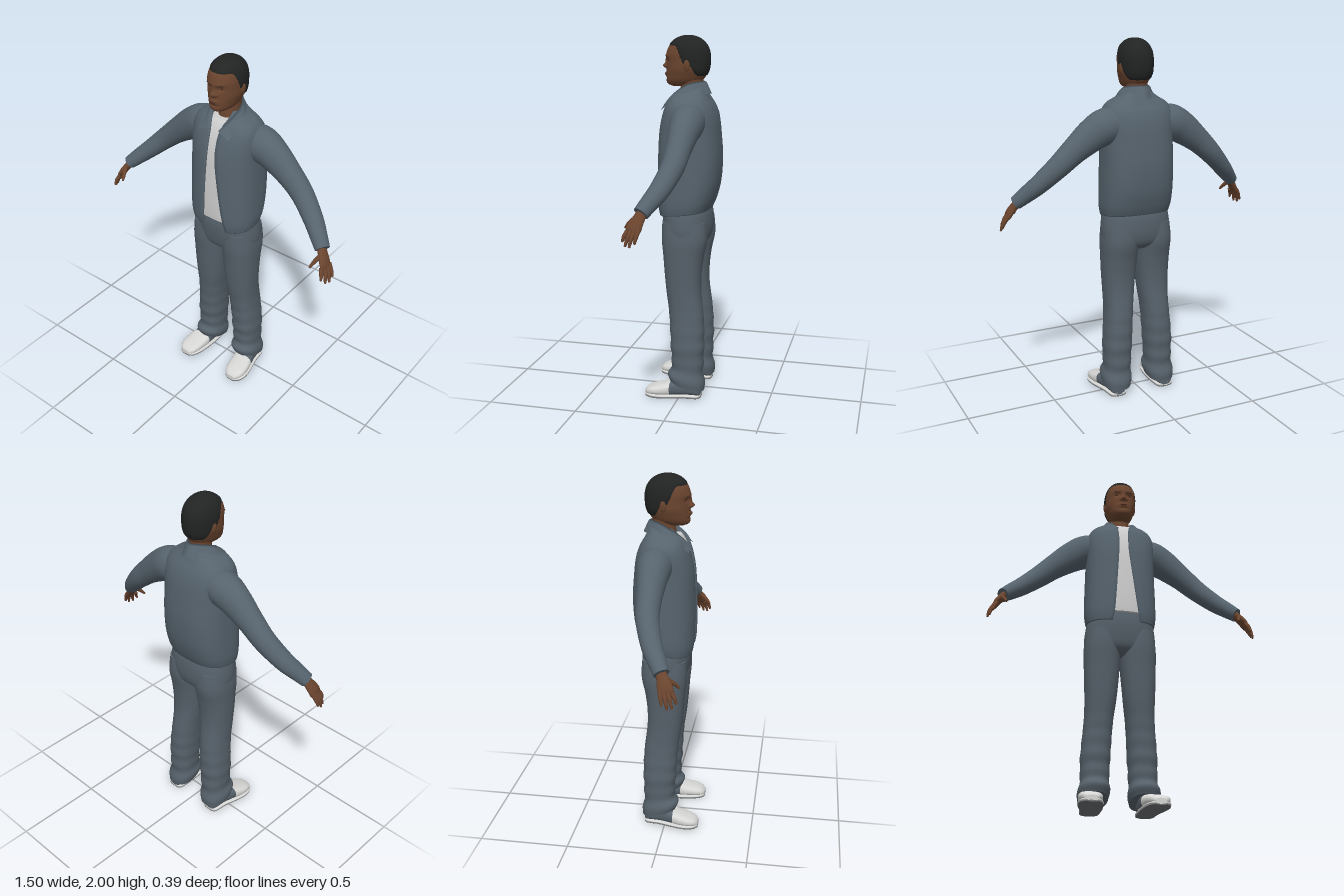
import * as THREE from 'three';

const mat = (name, color, side = THREE.FrontSide) => {
  const m = new THREE.MeshStandardMaterial({ color, side });
  m.name = name;
  return m;
};
const V = (x, y, z) => new THREE.Vector3(x, y, z);
const spow = (v, e) => Math.sign(v) * Math.abs(v) ** e;
const step = THREE.MathUtils.smoothstep;

// Catmull-Rom resampling of every column of a small table
function smooth(rows, n) {
  const out = [], last = rows.length - 1;
  for (let k = 0; k <= n; k++) {
    const u = (k / n) * last, i = Math.min(Math.floor(u), last - 1), t = u - i;
    const [a, b, c, d] = [i - 1, i, i + 1, i + 2].map(j => rows[Math.max(0, Math.min(last, j))]);
    out.push(b.map((_, j) => 0.5 * (2 * b[j] + (c[j] - a[j]) * t
      + (2 * a[j] - 5 * b[j] + 4 * c[j] - d[j]) * t * t
      + (3 * b[j] - a[j] - 3 * c[j] + d[j]) * t * t * t)));
  }
  return out;
}

// Skin over rings of points; closed lofts get end caps and outward faces
function loft(rings, closed = true) {
  const m = rings[0].length, pos = [], idx = [];
  rings.forEach(r => r.forEach(p => pos.push(p.x, p.y, p.z)));
  for (let i = 0; i < rings.length - 1; i++)
    for (let j = 0; j < (closed ? m : m - 1); j++) {
      const a = i * m + j, b = i * m + (j + 1) % m;
      idx.push(a, b, b + m, a, b + m, a + m);
    }
  if (closed) [0, rings.length - 1].forEach((e, end) => {
    const ring = rings[e], c = V(0, 0, 0), base = pos.length / 3;
    ring.forEach(p => { c.addScaledVector(p, 1 / m); pos.push(p.x, p.y, p.z); });
    pos.push(c.x, c.y, c.z);
    for (let j = 0; j < m; j++) {
      const a = base + j, b = base + (j + 1) % m;
      end ? idx.push(a, b, base + m) : idx.push(b, a, base + m);
    }
  });
  if (closed) {
    const P = i => V(pos[3 * i], pos[3 * i + 1], pos[3 * i + 2]);
    let vol = 0;
    for (let i = 0; i < idx.length; i += 3) vol += P(idx[i]).dot(P(idx[i + 1]).cross(P(idx[i + 2])));
    if (vol < 0) idx.reverse();
  }
  const g = new THREE.BufferGeometry();
  g.setAttribute('position', new THREE.Float32BufferAttribute(pos, 3));
  g.setIndex(idx);
  g.computeVertexNormals();
  return g;
}

// Horizontal ring from height, front z, back z, half width, centre x and tilt
function ring([y, zf, zb, hw, cx = 0, tilt = 0], p = 2.3, seg = 40) {
  return Array.from({ length: seg }, (_, j) => {
    const a = (j / seg) * Math.PI * 2, z = (zf + zb) / 2 + (zf - zb) / 2 * spow(Math.cos(a), 2 / p);
    return V(cx + hw * spow(Math.sin(a), 2 / p), y + tilt * z, z);
  });
}

// Limb along rows of x, y, z, radius in the xy plane, radius across it
function limb(rows, s, n = 24, seg = 20) {
  const R = smooth(rows, n);
  return loft(R.map((r, i) => {
    const a = R[Math.max(0, i - 1)], b = R[Math.min(n, i + 1)];
    const T = V(b[0] - a[0], b[1] - a[1], b[2] - a[2]).normalize();
    const N = T.clone().cross(V(0, 0, 1)).normalize(), B = T.clone().cross(N);
    return Array.from({ length: seg }, (_, j) => {
      const t = (j / seg) * Math.PI * 2;
      const q = V(r[0], r[1], r[2]).addScaledVector(N, r[3] * Math.cos(t)).addScaledVector(B, r[4] * Math.sin(t));
      q.x *= s;
      return q;
    });
  }));
}

export function createModel() {
  const root = new THREE.Group();
  root.name = 'standingMan';
  const slate = mat('jacketSlate', 0x56636d, THREE.DoubleSide), trousers = mat('trouserSlate', 0x56616a);
  const skin = mat('skinBrown', 0x6b452f), hairMat = mat('hairBlack', 0x222323);
  const white = mat('shirtGrey', 0xcfcfd0), shoeMat = mat('shoeWhite', 0xd6d6d4);
  const soleMat = mat('soleGrey', 0x6c6e70), lipMat = mat('lipBrown', 0x5a3428), eyeMat = mat('eyeBrown', 0x3e261c);
  const add = (name, geo, m) => {
    const mesh = new THREE.Mesh(geo, m);
    mesh.name = name;
    root.add(mesh);
    return mesh;
  };
  const blob = (name, m, p, r, rotZ = 0) => {
    const e = add(name, new THREE.SphereGeometry(1, 20, 14), m);
    e.position.set(...p);
    e.scale.set(...r);
    e.rotation.z = rotZ;
  };

  // Head with modelled nose, brow, eye sockets and lips
  const headRows = smooth([
    [1.728, 0.075, -0.02, 0.022], [1.74, 0.103, -0.06, 0.048], [1.76, 0.111, -0.088, 0.065],
    [1.79, 0.11, -0.11, 0.077], [1.82, 0.108, -0.123, 0.086], [1.86, 0.107, -0.128, 0.088],
    [1.9, 0.11, -0.127, 0.088], [1.94, 0.096, -0.114, 0.08], [1.972, 0.066, -0.086, 0.06],
    [1.99, 0.03, -0.05, 0.034], [1.996, -0.005, -0.015, 0.006]], 64);
  const bump = (x, y, cx, cy, sx, sy) => Math.exp(-(((x - cx) / sx) ** 2) - ((y - cy) / sy) ** 2);
  const face = p => {
    if (p.z < 0.02) return p;
    const x = Math.abs(p.x), y = p.y;
    p.z += 0.024 * bump(x, y, 0, 1.836, 0.013, 0.013) + 0.011 * bump(x, y, 0, 1.862, 0.009, 0.022)
      + 0.008 * bump(x, y, 0.016, 1.832, 0.009, 0.008) + 0.005 * bump(x, y, 0.03, 1.89, 0.025, 0.008)
      - 0.009 * bump(x, y, 0.034, 1.868, 0.016, 0.012) + 0.009 * bump(x, y, 0, 1.794, 0.026, 0.012)
      - 0.005 * bump(x, y, 0, 1.772, 0.03, 0.007);
    return p;
  };
  const headGeo = loft(headRows.map(r => ring(r, 2.15, 72).map(face)));
  add('head', headGeo, skin);

  // Close-cropped hair rises from the scalp above the hairline
  const hairGeo = headGeo.clone(), hp = hairGeo.attributes.position, hn = headGeo.attributes.normal;
  for (let i = 0; i < hp.count; i++) {
    const y = hp.getY(i), z = hp.getZ(i);
    const line = 1.785 + 0.06 * step(z, -0.075, -0.03) + 0.1 * step(z, -0.01, 0.05);
    const d = Math.max(-0.008, Math.min(0.004, (y - line) * 0.5));
    hp.setXYZ(i, hp.getX(i) + hn.getX(i) * d, y + hn.getY(i) * d, z + hn.getZ(i) * d);
  }
  hairGeo.computeVertexNormals();
  add('hair', hairGeo, hairMat);
  for (const s of [1, -1]) {
    blob('ear', skin, [s * 0.088, 1.84, -0.022], [0.008, 0.03, 0.017], -s * 0.12);
    blob('eye', eyeMat, [s * 0.034, 1.867, 0.089], [0.012, 0.0045, 0.004]);
    blob('eyebrow', hairMat, [s * 0.034, 1.889, 0.099], [0.016, 0.0025, 0.004], -s * 0.08);
  }
  blob('lips', lipMat, [0, 1.794, 0.115], [0.021, 0.006, 0.005]);
  add('neck', loft(smooth([[1.6, 0.03, -0.11, 0.07], [1.68, 0.036, -0.098, 0.058], [1.74, 0.03, -0.092, 0.057],
    [1.79, 0.03, -0.095, 0.06]], 12).map(r => ring(r, 2))), skin);

  // Open jacket: height, front z, back z, half width, then both front edges
  const coat = smooth([
    [1.045, 0.137, -0.14, 0.19, 0.065, 0.09], [1.1, 0.146, -0.163, 0.199, 0.055, 0.08],
    [1.2, 0.149, -0.186, 0.2, 0.047, 0.063], [1.34, 0.147, -0.195, 0.197, 0.038, 0.043],
    [1.475, 0.14, -0.186, 0.195, 0.03, 0.027], [1.56, 0.125, -0.175, 0.197, 0.028, 0.026],
    [1.62, 0.106, -0.156, 0.19, 0.03, 0.03], [1.66, 0.085, -0.133, 0.165, 0.04, 0.04],
    [1.69, 0.06, -0.117, 0.115, 0.052, 0.052], [1.72, 0.035, -0.105, 0.074, 0.055, 0.055]], 54);
  const P = 2.6, SEG = 72;
  const coatRing = ([y, zf, zb, hw, xl, xr]) => {
    const at = x => Math.asin(Math.min(0.98, (x / hw) ** (P / 2)));
    const a0 = at(xr), a1 = Math.PI * 2 - at(xl);
    const pts = Array.from({ length: SEG }, (_, j) => {
      const a = a0 + (a1 - a0) * j / (SEG - 1);
      const z = (zf + zb) / 2 + (zf - zb) / 2 * spow(Math.cos(a), 2 / P);
      return V(hw * spow(Math.sin(a), 2 / P), y - 0.11 * z * (1 - step(y, 1.05, 1.3)), z);
    });
    const fold = p => p.clone().add(V(0, 0, -0.014));
    return [fold(pts[0]), ...pts, fold(pts[SEG - 1])];
  };
  const [y0, f0, b0, w0, l0, r0] = coat[0];
  add('jacketBody', loft([[y0 + 0.004, f0 - 0.015, b0 + 0.015, w0 - 0.015, l0, r0], ...coat].map(coatRing), false), slate);
  add('shirt', loft(coat.filter(r => r[0] > 1.085 && r[0] < 1.68)
    .map(([y, f, b, w]) => ring([y, f - 0.011, b + 0.03, w - 0.025], P))), white);

  // Folded collar: stand inside, crease on top, wings falling outside
  const half = (...pts) => {
    const p = pts.map(q => V(...q));
    const mirrored = p.slice(1).reverse().map(q => V(-q.x, q.y, q.z));
    return new THREE.CatmullRomCurve3([...mirrored, ...p]).getPoints(48);
  };
  const collar = [
    half([0, 1.69, -0.096], [0.066, 1.69, -0.03], [0.055, 1.655, 0.055], [0.03, 1.63, 0.1]),
    half([0, 1.757, -0.1], [0.073, 1.745, -0.025], [0.062, 1.69, 0.06], [0.03, 1.635, 0.108]),
    half([0, 1.75, -0.112], [0.083, 1.735, -0.03], [0.077, 1.68, 0.066], [0.04, 1.632, 0.115]),
    half([0, 1.69, -0.14], [0.112, 1.68, -0.03], [0.115, 1.645, 0.06], [0.1, 1.605, 0.117])];
  add('collar', loft(collar, false), slate);

  // Pelvis
  add('trouserSeat', loft(smooth([[1.095, 0.118, -0.13, 0.178], [1.03, 0.125, -0.145, 0.192], [0.95, 0.117, -0.146, 0.199],
    [0.89, 0.1, -0.13, 0.185], [0.855, 0.06, -0.09, 0.12]], 24).map(r => ring(r))), trousers);

  // Limbs and shoes, one set per side
  const legRows = smooth([
    [1.0, 0.005, 0.19, 0.11, -0.135, 0], [0.9, 0, 0.2, 0.112, -0.14, 0], [0.8, 0.004, 0.198, 0.103, -0.12, 0],
    [0.7, 0.012, 0.195, 0.095, -0.108, 0], [0.6, 0.022, 0.191, 0.085, -0.108, 0], [0.5, 0.035, 0.191, 0.071, -0.12, 0],
    [0.4, 0.042, 0.198, 0.062, -0.128, 0], [0.28, 0.048, 0.206, 0.056, -0.13, 0], [0.18, 0.054, 0.204, 0.05, -0.125, 0.1],
    [0.12, 0.05, 0.216, 0.068, -0.132, 0.2], [0.075, 0.056, 0.217, 0.062, -0.138, 0.25]], 60);
  const tips = [
    [[0.71, 1.085, 0.063], [0.73, 1.05, 0.07], [0.742, 1.018, 0.076]],
    [[0.71, 1.082, 0.082], [0.732, 1.04, 0.094], [0.742, 1.0, 0.102]],
    [[0.705, 1.08, 0.101], [0.725, 1.04, 0.115], [0.732, 1.002, 0.126]],
    [[0.698, 1.08, 0.118], [0.712, 1.05, 0.135], [0.716, 1.022, 0.145]],
    [[0.672, 1.13, 0.095], [0.657, 1.102, 0.128], [0.648, 1.077, 0.15]]];
  // Shoe sections run heel to toe: z, centre x, half width, height
  const shoe = smooth([
    [-0.118, 0.148, 0.03, 0.05], [-0.1, 0.148, 0.047, 0.085], [-0.03, 0.15, 0.053, 0.1], [0.03, 0.158, 0.06, 0.095],
    [0.09, 0.168, 0.064, 0.078], [0.14, 0.173, 0.06, 0.065], [0.175, 0.174, 0.046, 0.052], [0.192, 0.174, 0.025, 0.036]], 36);
  const shoeRing = (s, lo, k, cap) => ([z, cx, w, h]) => Array.from({ length: 28 }, (_, j) => {
    const a = (j / 28) * Math.PI * 2, top = Math.min(h, cap);
    return V(s * (cx + k * w * spow(Math.cos(a), 0.75)), lo + (top - lo) * (0.5 + 0.5 * spow(Math.sin(a), 0.75)), z);
  });
  for (const s of [1, -1]) {
    const side = s > 0 ? 'left' : 'right';
    add(side + 'Sleeve', limb([
      [0.1, 1.56, -0.045, 0.08, 0.085], [0.19, 1.545, -0.05, 0.098, 0.092], [0.27, 1.505, -0.05, 0.09, 0.08],
      [0.37, 1.43, -0.048, 0.072, 0.066], [0.46, 1.35, -0.04, 0.061, 0.06], [0.557, 1.257, -0.003, 0.051, 0.054],
      [0.62, 1.198, 0.035, 0.044, 0.047], [0.665, 1.155, 0.064, 0.037, 0.041]], s, 36, 28), slate);
    add(side + 'Palm', limb([
      [0.65, 1.17, 0.055, 0.02, 0.026], [0.672, 1.135, 0.07, 0.02, 0.031], [0.692, 1.105, 0.083, 0.018, 0.038],
      [0.705, 1.08, 0.091, 0.014, 0.039], [0.71, 1.068, 0.094, 0.006, 0.03]], s), skin);
    tips.forEach(([a, b, c], i) => add(side + (i < 4 ? 'Finger' : 'Thumb'), limb([
      [...a, 0.012, 0.012], [...b, 0.0105, 0.0105], [...c, 0.006, 0.006]], s, 8, 10), skin));
    add(side + 'TrouserLeg', loft(legRows.map(([y, xi, xo, zf, zb, tilt]) => {
      const fold = 0.004 * Math.sin(y * 70) * (1 - step(y, 0.15, 0.6));
      return ring([y, zf + fold, zb - fold, (xo - xi) / 2 + fold / 2, s * (xi + xo) / 2, tilt]);
    })), trousers);
    add(side + 'ShoeHeel', loft(shoe.filter(r => r[0] < 0.06).map(shoeRing(s, 0.012, 0.97, 1))), trousers);
    add(side + 'ShoeToe', loft(shoe.filter(r => r[0] > 0.04).map(shoeRing(s, 0.012, 1, 1))), shoeMat);
    add(side + 'ShoeRim', loft(shoe.map(shoeRing(s, 0.005, 1.06, 0.024))), shoeMat);
    add(side + 'ShoeSole', loft(shoe.map(shoeRing(s, 0, 1.03, 0.009))), soleMat);
  }
  return root;
}
